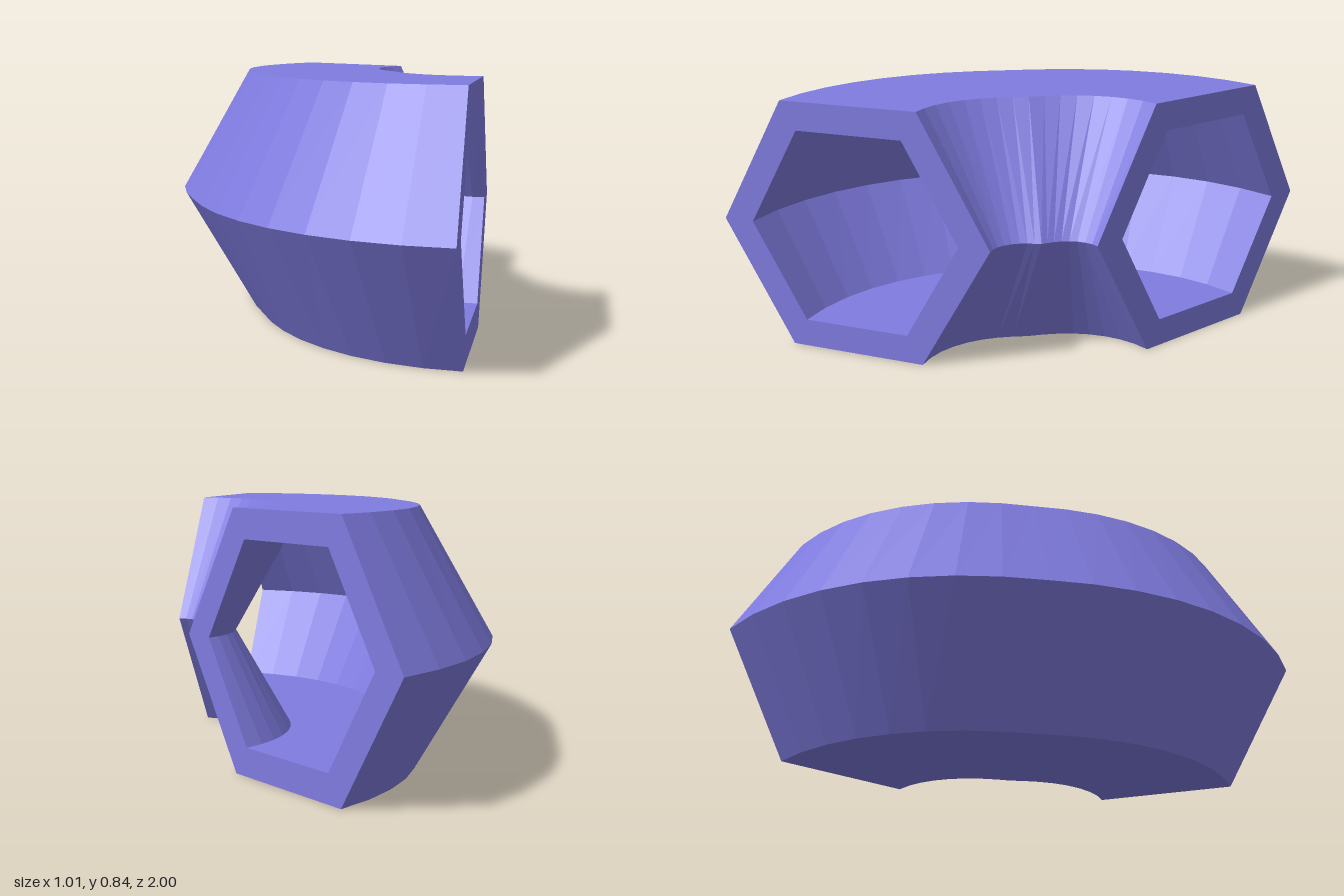
import * as THREE from 'three';

const AXIS_X = 0.597;          // the bend turns about a vertical line here
const MID_Y = 0.419;
const SWEEP = Math.PI / 3;     // half of the 120 degree bend
const STEPS = 16;
const OUTER = { radius: 0.479, halfHeight: 0.419 };
const INNER = { radius: 0.372, halfHeight: 0.325 };

// Distance of the pipe's centre from the axis: slightly flattened in mid-bend
const pathRadius = (a) => 0.6255 + 0.05 * Math.pow(Math.sin(1.75 * Math.abs(a)), 1.3);

// One hexagonal ring across the pipe at bend angle a
function hexRing(a, { radius, halfHeight }) {
  const ring = [];
  for (let k = 0; k < 6; k++) {
    const t = (k * Math.PI) / 3;
    const r = pathRadius(a) + radius * Math.cos(t);
    const y = MID_Y + (halfHeight * Math.sin(t)) / Math.sin(Math.PI / 3);
    ring.push(new THREE.Vector3(AXIS_X - r * Math.cos(a), y, r * Math.sin(a)));
  }
  return ring;
}

// Joins successive rings, wrapping the last back to the first
function skinRings(rings) {
  const pos = [];
  rings.forEach((ring, j) => {
    const next = rings[(j + 1) % rings.length];
    for (let k = 0; k < 6; k++) {
      const m = (k + 1) % 6;
      for (const p of [ring[k], next[k], next[m], ring[k], next[m], ring[m]]) pos.push(p.x, p.y, p.z);
    }
  });
  const geo = new THREE.BufferGeometry();
  geo.setAttribute('position', new THREE.Float32BufferAttribute(pos, 3));
  geo.computeVertexNormals();
  return geo;
}

export function createModel() {
  const group = new THREE.Group();
  group.name = 'hexagonalPipeBend';

  // Out along the outer skin, across one rim, back along the bore, across the other rim
  const rings = [];
  for (let j = 0; j <= STEPS; j++) rings.push(hexRing(-SWEEP + (2 * SWEEP * j) / STEPS, OUTER));
  for (let j = STEPS; j >= 0; j--) rings.push(hexRing(-SWEEP + (2 * SWEEP * j) / STEPS, INNER));

  const pipe = new THREE.Mesh(
    skinRings(rings),
    new THREE.MeshStandardMaterial({ color: 0x7f7be0, flatShading: true })
  );
  pipe.name = 'hollowPipe';
  group.add(pipe);
  return group;
}
